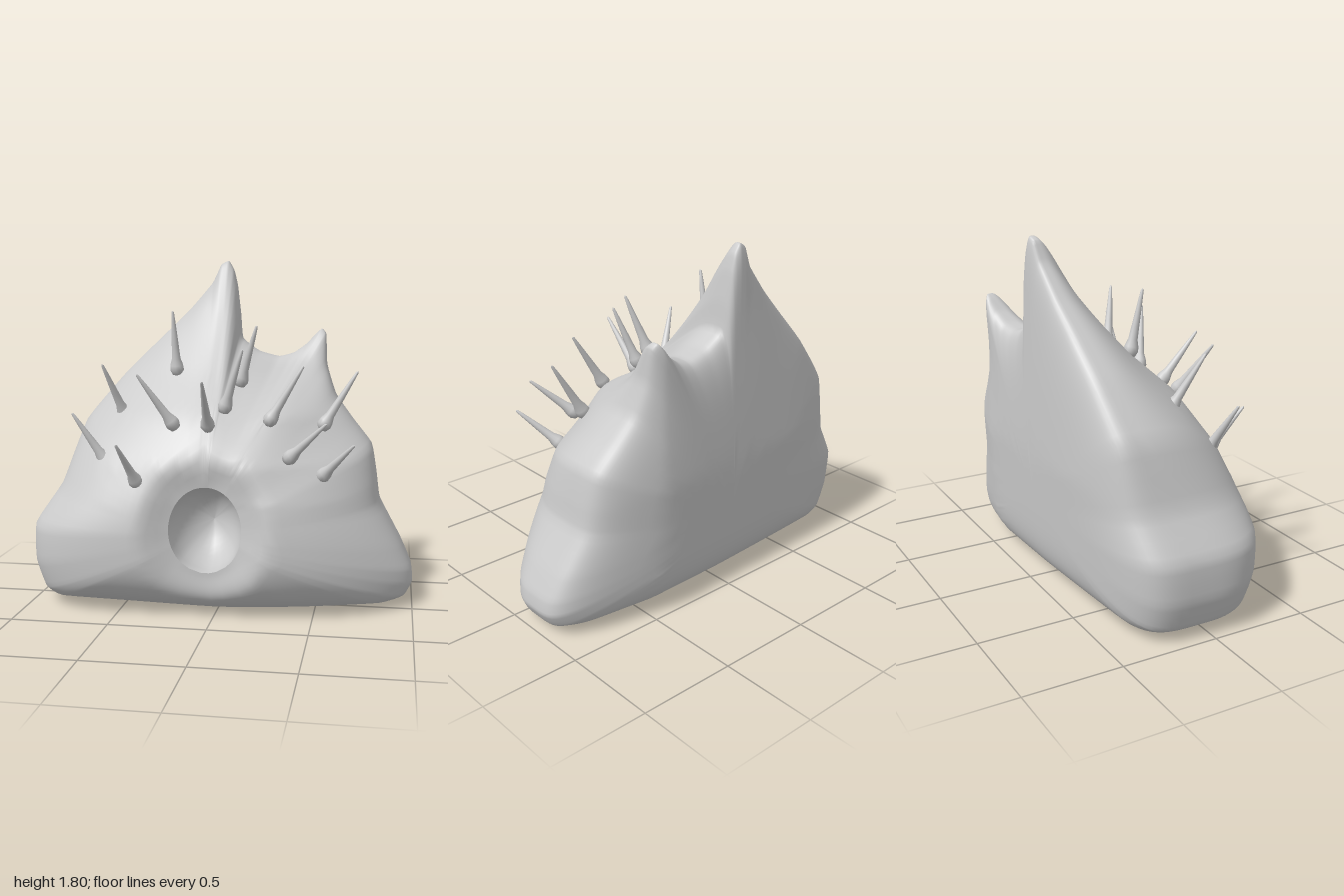
import * as THREE from 'three';

const { lerp, smoothstep } = THREE.MathUtils;
const V = (x, y, z) => new THREE.Vector3(x, y, z);
const material = new THREE.MeshStandardMaterial({ color: 0xcccccc });

// Outline of the body: x, y and the depth z of its widest rim, counterclockwise
const OUTLINE = [
  [0, 0, 0], [0.45, 0.01, -0.03], [0.85, 0.02, -0.1], [0.96, 0.05, -0.13],
  [1, 0.12, -0.15], [0.99, 0.2, -0.15], [0.93, 0.33, -0.17], [0.82, 0.53, -0.2],
  [0.8, 0.66, -0.22], [0.77, 0.82, -0.25], [0.67, 0.945, -0.28], [0.57, 1.08, -0.32],
  [0.515, 1.24, -0.39], [0.505, 1.4, -0.45], [0.48, 1.43, -0.47], [0.45, 1.405, -0.46],
  [0.4, 1.35, -0.43], [0.33, 1.3, -0.4], [0.25, 1.28, -0.38], [0.14, 1.31, -0.37],
  [0.045, 1.38, -0.39], [0.03, 1.52, -0.41], [0.01, 1.67, -0.44], [-0.01, 1.75, -0.45],
  [-0.04, 1.8, -0.46], [-0.08, 1.78, -0.45], [-0.125, 1.68, -0.43], [-0.25, 1.53, -0.4],
  [-0.4, 1.38, -0.36], [-0.58, 1.2, -0.32], [-0.78, 0.95, -0.25], [-0.87, 0.63, -0.12],
  [-1, 0.42, -0.05], [-1, 0.22, -0.03], [-0.95, 0.07, -0.02], [-0.86, 0.025, 0], [-0.45, 0.01, 0],
].map(p => V(...p));

const COLUMNS = 148;
const MOUTH = { x: -0.035, y: 0.455, rx: 0.185, ry: 0.22, depth: 0.26 };

// Height and depth of the front, from the belly up to the tall peak
const FRONT = [[0, 0.44], [0.6, 0.44], [0.78, 0.415], [1, 0.305], [1.2, 0.11], [1.53, -0.15], [1.8, -0.32]];
function frontDepth(y) {
  for (let i = 1; i < FRONT.length; i++) {
    const [y0, z0] = FRONT[i - 1], [y1, z1] = FRONT[i];
    if (y <= y1) return lerp(z0, z1, (y - y0) / (y1 - y0));
  }
  return FRONT.at(-1)[1];
}

// Height of a superellipse dome at distance s from its middle
const dome = (s, n) => Math.pow(Math.max(0, 1 - s ** n), 1 / n);

// Rounded front surface, sunk around the mouth and below the small peak
function frontZ(x, y, s, n, rimZ) {
  const hollow = 0.22 * Math.exp(-(((x - 0.4) / 0.2) ** 2)) * smoothstep(y, 1, 1.28);
  const face = frontDepth(y) - 0.3 * Math.max(x, 0) ** 2 - hollow;
  const rho = Math.hypot((x - MOUTH.x) / MOUTH.rx, (y - MOUTH.y) / MOUTH.ry);
  const sunk = 0.09 * (1 - smoothstep(rho, 0.9, 1.9));
  return lerp(rimZ, face, dome(s, n)) - sunk;
}

// Nearly flat back, leaning in at the bottom and on the model's left
function backZ(x, y, s, rimZ) {
  const face = -0.505 - 0.045 * x + 0.05 * Math.max(0, 1 - y / 0.7) + 0.2 * Math.max(0, x - 0.45);
  return lerp(rimZ, face, dome(s, 4.8));
}

// Roundness of the front edge: soft below, firm at the sides, sloping above
function edgePower(y) {
  const low = lerp(2.6, 3.2, smoothstep(y, 0, 0.25));
  return lerp(low, 2.2, smoothstep(y, 0.35, 0.95));
}

// Rays from the mouth to the rim, with radius, depth and roundness blurred between neighbours
function createRays() {
  const curve = new THREE.CatmullRomCurve3(OUTLINE, true, 'catmullrom', 0.2);
  const rays = Array.from({ length: COLUMNS }, (_, j) => {
    const rim = curve.getPoint(j / COLUMNS);
    rim.y = Math.max(rim.y, 0);
    const dx = rim.x - MOUTH.x, dy = rim.y - MOUTH.y;
    return {
      rim, dx, dy, radius: Math.hypot(dx, dy), angle: Math.atan2(dy, dx),
      s0: 1 / Math.hypot(dx / MOUTH.rx, dy / MOUTH.ry),
    };
  });
  const gap = (a, b) => Math.abs(Math.atan2(Math.sin(a - b), Math.cos(a - b)));
  rays.forEach(ray => {
    let sum = 0, radius = 0, z = 0, power = 0;
    rays.forEach((other, j) => {
      const width = gap(rays.at(j - 1).angle, rays[(j + 1) % COLUMNS].angle);
      const w = width * Math.exp(-((gap(ray.angle, other.angle) / 0.25) ** 2));
      sum += w;
      radius += w * other.radius;
      z += w * other.rim.z;
      power += w * edgePower(other.rim.y);
    });
    ray.stretch = lerp(1, ray.radius * sum / radius, smoothstep(ray.rim.y, 0.6, 1.1));
    ray.softZ = z / sum;
    ray.power = power / sum;
  });
  return rays;
}

// Point on the front or back at fraction s of a ray; peaks only shape the outer part
function surfacePoint(ray, s, isFront) {
  const x = MOUTH.x + ray.dx * s, y = MOUTH.y + ray.dy * s;
  const outer = smoothstep(s, 0.45, 0.95);
  const soft = Math.min(1, lerp(s * ray.stretch, s, outer));
  const rimZ = lerp(ray.softZ, ray.rim.z, outer);
  return V(x, y, isFront ? frontZ(x, y, soft, ray.power, rimZ) : backZ(x, y, soft, rimZ));
}

// Skin rows of points that close around the mouth axis
function skin(rows) {
  const positions = [], index = [];
  rows.forEach(row => row.forEach(p => positions.push(p.x, p.y, p.z)));
  for (let i = 0; i < rows.length - 1; i++) {
    for (let j = 0; j < COLUMNS; j++) {
      const k = (j + 1) % COLUMNS;
      const a = i * COLUMNS + j, b = a + COLUMNS, c = i * COLUMNS + k, d = c + COLUMNS;
      index.push(a, b, c, b, d, c);
    }
  }
  const geometry = new THREE.BufferGeometry();
  geometry.setAttribute('position', new THREE.Float32BufferAttribute(positions, 3));
  geometry.setIndex(index);
  geometry.computeVertexNormals();
  return geometry;
}

function named(name, geometry) {
  const mesh = new THREE.Mesh(geometry, material);
  mesh.name = name;
  return mesh;
}

function createBody() {
  const rays = createRays();

  // Front from mouth edge to rim, then back from rim to centre
  const rows = [];
  const FRONT_ROWS = 32, BACK_ROWS = 20;
  for (let i = 0; i <= FRONT_ROWS; i++) {
    const t = 1 - (1 - i / FRONT_ROWS) ** 2.2;
    rows.push(rays.map(ray => surfacePoint(ray, lerp(ray.s0, 1, t), true)));
  }
  for (let i = 1; i <= BACK_ROWS; i++) {
    const s = 1 - (i / BACK_ROWS) ** 2.6;
    rows.push(rays.map(ray => surfacePoint(ray, s, false)));
  }

  // Hollow mouth bowl
  const bowl = [];
  for (let i = 0; i <= 10; i++) {
    const a = (i / 10) * Math.PI / 2;
    bowl.push(rays.map(ray => {
      const edge = surfacePoint(ray, ray.s0, true);
      const r = Math.sin(a);
      return V(lerp(MOUTH.x, edge.x, r), lerp(MOUTH.y, edge.y, r),
        lerp(0.31, edge.z, r) - MOUTH.depth * Math.max(0, Math.cos(a)) ** 0.8);
    }));
  }
  return [named('body', skin(rows)), named('mouth', skin(bowl))];
}

// Thorns: base and tip
const THORNS = [
  [[-0.25, 1.23, -0.04], [-0.26, 1.54, 0.02]], [[-0.52, 1.0, 0.03], [-0.6, 1.27, 0.17]],
  [[-0.58, 0.78, 0.21], [-0.73, 1.03, 0.28]], [[-0.21, 0.98, 0.26], [-0.37, 1.24, 0.37]],
  [[-0.38, 0.7, 0.36], [-0.44, 0.91, 0.52]], [[-0.03, 0.98, 0.28], [-0.02, 1.22, 0.5]],
  [[0.04, 1.06, 0.18], [0.14, 1.36, 0.25]], [[0.1, 1.18, 0.02], [0.19, 1.47, 0.09]],
  [[0.27, 1.0, 0.18], [0.44, 1.28, 0.2]], [[0.38, 0.83, 0.29], [0.57, 1.02, 0.41]],
  [[0.54, 0.73, 0.2], [0.7, 0.91, 0.35]], [[0.53, 0.96, 0.01], [0.7, 1.24, 0.02]],
];

function createThorn([base, tip]) {
  const from = V(...base), direction = V(...tip).sub(from), length = direction.length();
  const profile = [[0, -0.035], [0.026, -0.025], [0.037, 0], [0.034, 0.025], [0.023, 0.06],
    [0.019, length * 0.4], [0.011, length * 0.8], [0.007, length * 0.97], [0, length]];
  const thorn = named('thorn', new THREE.LatheGeometry(profile.map(p => new THREE.Vector2(...p)), 12));
  thorn.position.copy(from);
  thorn.quaternion.setFromUnitVectors(V(0, 1, 0), direction.normalize());
  return thorn;
}

export function createModel() {
  const model = new THREE.Group();
  model.name = 'thornyCreature';
  const thorns = new THREE.Group();
  thorns.name = 'thorns';
  thorns.add(...THORNS.map(createThorn));
  model.add(...createBody(), thorns);
  return model;
}
